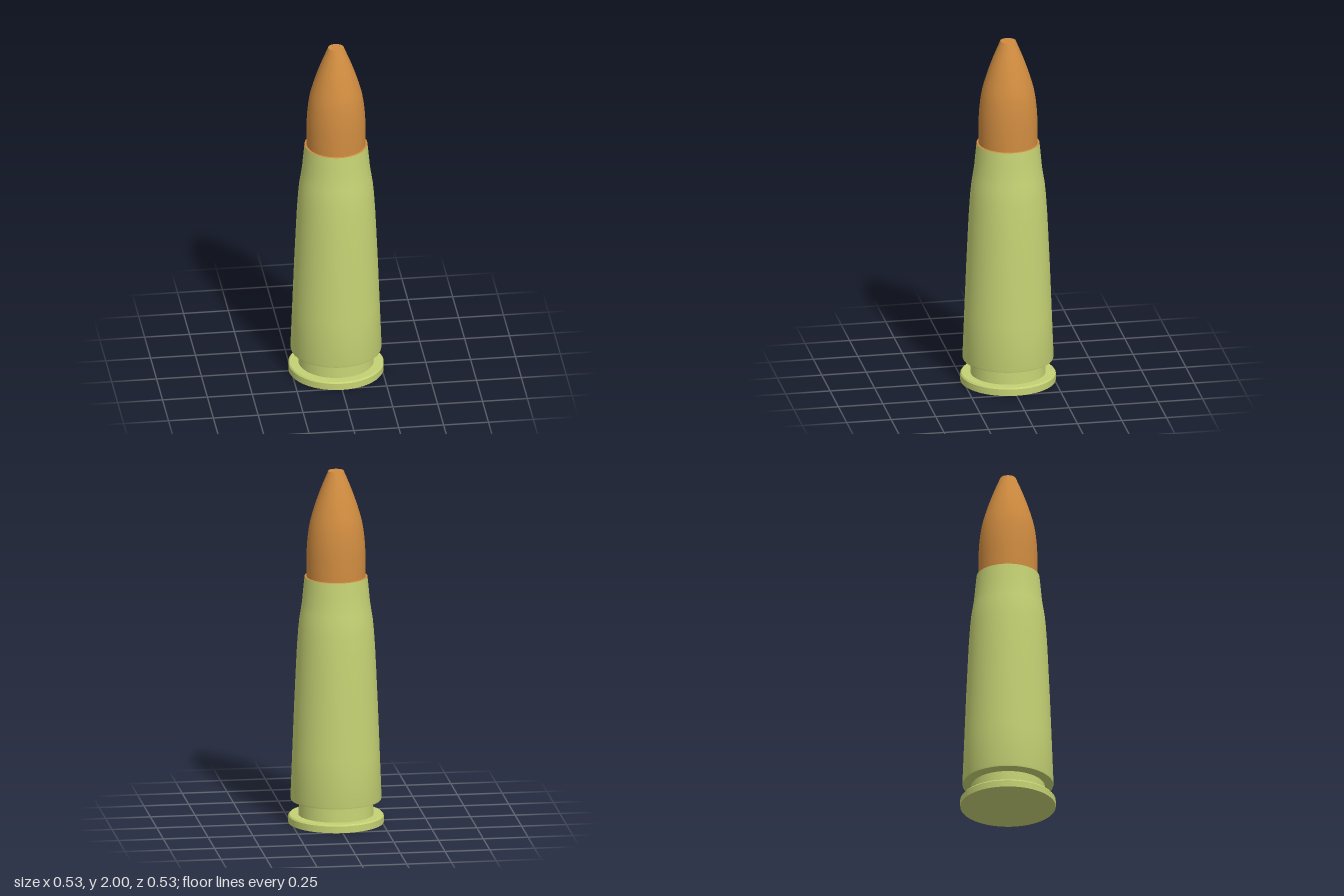
import * as THREE from 'three';
import { toCreasedNormals } from 'three/addons/utils/BufferGeometryUtils.js';

const SEGMENTS = 72;

// Turned part from [radius, height] pairs, listed bottom to top
function turned(name, profile, color) {
  const points = profile.map(([r, y]) => new THREE.Vector2(r, y));
  const geometry = toCreasedNormals(new THREE.LatheGeometry(points, SEGMENTS), 0.45);
  const mesh = new THREE.Mesh(geometry, new THREE.MeshStandardMaterial({ color }));
  mesh.name = name;
  return mesh;
}

export function createModel() {
  const group = new THREE.Group();
  group.name = 'cartridge';
  const caseColor = 0xc5d274;
  const bulletColor = 0xd08c40;

  // Rim disc, extractor groove, tapered body, soft shoulder and neck
  group.add(turned('case', [
    [0, 0], [0.264, 0], [0.264, 0.038], [0.257, 0.046],
    [0.208, 0.046], [0.204, 0.122], [0.25, 0.132], [0.252, 0.142],
    [0.242, 0.4], [0.232, 0.66], [0.222, 0.88], [0.216, 1.0],
    [0.209, 1.1], [0.203, 1.16], [0.195, 1.21], [0.188, 1.255],
    [0.181, 1.33], [0.174, 1.4],
  ], caseColor));

  // Mouth lip in the bullet colour, then a curved nose with a flat tip
  const nose = new THREE.SplineCurve([
    [0.163, 1.52], [0.159, 1.6], [0.146, 1.7], [0.119, 1.8], [0.084, 1.9], [0.043, 2],
  ].map(([r, y]) => new THREE.Vector2(r, y))).getPoints(20).map((p) => [p.x, p.y]);
  group.add(turned('bullet', [
    [0.174, 1.4], [0.163, 1.401], ...nose, [0, 2],
  ], bulletColor));

  return group;
}
